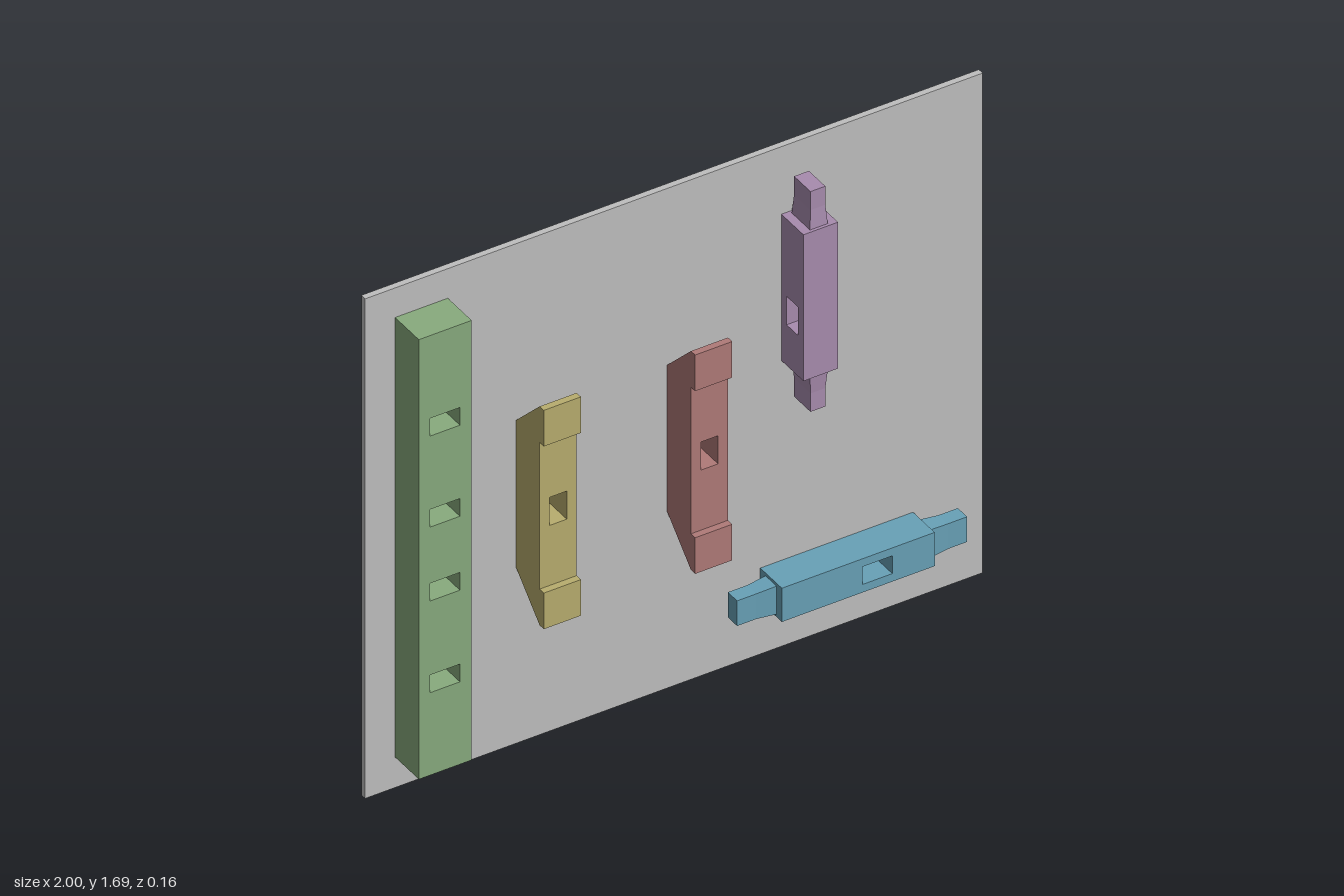
import * as THREE from 'three';

const BACK = -0.062; // front plane of the backing board

const material = (name, color) => {
  const m = new THREE.MeshStandardMaterial({ color });
  m.name = name;
  return m;
};

const addMesh = (parent, name, geometry, mat) => {
  const mesh = new THREE.Mesh(geometry, mat);
  mesh.name = name;
  parent.add(mesh);
  return mesh;
};

const rect = (Type, x0, x1, y0, y1) => new Type(
  [[x0, y0], [x1, y0], [x1, y1], [x0, y1]].map(([x, y]) => new THREE.Vector2(x, y)));

// Rectangular bar along z with through mortises, each [x0, x1, y0, y1]
function mortisedBar(bounds, holes, z0, z1) {
  const shape = rect(THREE.Shape, ...bounds);
  holes.forEach((h) => shape.holes.push(rect(THREE.Path, ...h)));
  return new THREE.ExtrudeGeometry(shape, { depth: z1 - z0, bevelEnabled: false }).translate(0, 0, z0);
}

// Short bracket: mortised middle and two raised ends with mitred backs
function bracket(name, x, mat) {
  const group = new THREE.Group();
  group.name = name;
  const w = 0.12, lo = 0.475, hi = 1.215, pad = 0.122;
  addMesh(group, 'middle', mortisedBar(
    [x - w / 2, x + w / 2, lo + pad, hi - pad],
    [[x - 0.028, x + 0.028, 0.8, 0.895]], BACK, 0.061), mat);
  for (const [part, end, dir] of [['lowerEnd', lo, 1], ['upperEnd', hi, -1]]) {
    const inner = end + dir * pad;
    const shape = new THREE.Shape([[BACK, inner], [0.061, end], [0.083, end], [0.083, inner]]
      .map(([z, y]) => new THREE.Vector2(z, y)));
    const g = new THREE.ExtrudeGeometry(shape, { depth: w, bevelEnabled: false });
    g.translate(0, 0, -w / 2).rotateY(-Math.PI / 2).translate(x, 0, 0);
    addMesh(group, part, g, mat);
  }
  return group;
}

// Tenon whose half nearest the shoulder flares out slightly
function tenonGeometry() {
  const g = new THREE.BoxGeometry(0.125, 0.085, 0.048, 2, 1, 1);
  const p = g.attributes.position;
  for (let i = 0; i < p.count; i++) {
    if (p.getX(i) < -0.01) {
      p.setY(i, p.getY(i) * 1.12);
      p.setZ(i, p.getZ(i) * 1.2);
    }
  }
  const flat = g.toNonIndexed();
  flat.computeVertexNormals();
  return flat;
}

// Rail along x with one off-centre mortise and a tenon at each end
function rail(name, mat) {
  const group = new THREE.Group();
  group.name = name;
  const half = 0.2475;
  addMesh(group, 'body', mortisedBar([-half, half, -0.057, 0.057],
    [[0.014, 0.11, -0.03, 0.03]], -0.056, 0.056), mat);
  for (const side of [-1, 1]) {
    const t = addMesh(group, side > 0 ? 'endTenon' : 'startTenon', tenonGeometry(), mat);
    t.position.x = side * (half + 0.0625);
    if (side < 0) t.rotation.y = Math.PI;
  }
  return group;
}

export function createModel() {
  const model = new THREE.Group();
  model.name = 'joineryPartsBoard';

  // Backing board
  addMesh(model, 'backingBoard',
    new THREE.BoxGeometry(2, 1.69, 0.02).translate(0, 0.845, BACK - 0.01),
    material('boardGrey', 0xbfbfbf));

  // Tall post with four mortises
  const holes = [0.412, 0.722, 0.972, 1.28].map((y) => [-0.867, -0.77, y - 0.03, y + 0.03]);
  addMesh(model, 'post', mortisedBar([-0.903, -0.732, 0.103, 1.59], holes, BACK, 0.061),
    material('postGreen', 0x88ab7e));

  // Twin brackets
  model.add(bracket('firstBracket', -0.452, material('bracketYellow', 0xb8ad6e)));
  model.add(bracket('secondBracket', 0.038, material('bracketRed', 0xaf7a78)));

  // Horizontal rail
  const lower = rail('horizontalRail', material('railBlue', 0x68a1b7));
  lower.position.set(0.527, 0.234, -0.006);
  model.add(lower);

  // Upright rail: the same part stood on end and turned a quarter
  const upright = rail('uprightRail', material('railPurple', 0xa88cae));
  upright.quaternion.setFromRotationMatrix(new THREE.Matrix4().makeBasis(
    new THREE.Vector3(0, -1, 0), new THREE.Vector3(0, 0, -1), new THREE.Vector3(1, 0, 0)));
  upright.position.set(0.404, 1.214, -0.005);
  model.add(upright);

  return model;
}
